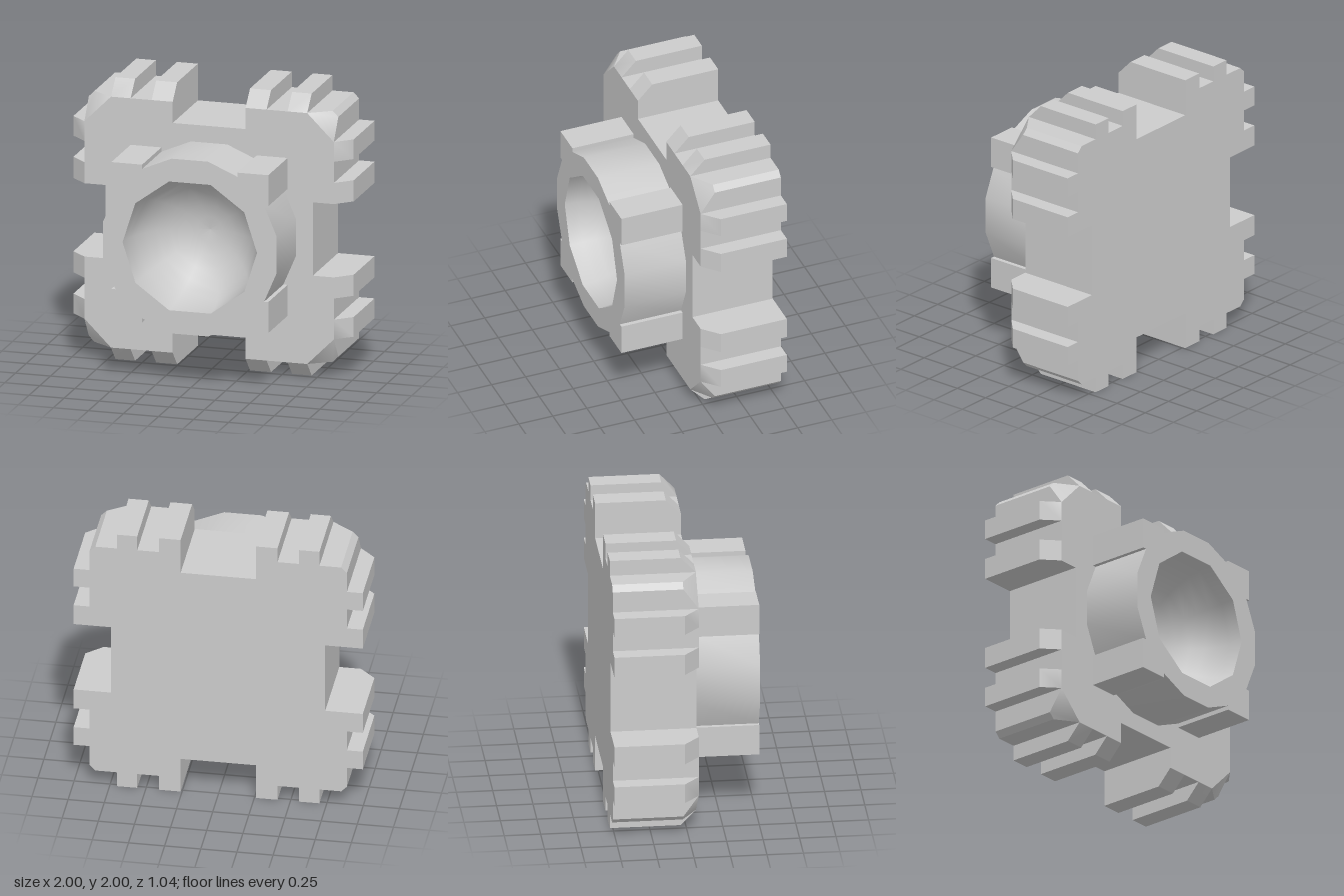
import * as THREE from 'three';
import { mergeGeometries, toCreasedNormals } from 'three/addons/utils/BufferGeometryUtils.js';

const BACK = -0.52, BEVEL = -0.035, FACE = 0.07, FRONT = 0.52;
const BORE = 0.48;

// Repeat one side's points (running right to left along the top) on all four sides.
function fourSides(side) {
  const out = [];
  for (let k = 0; k < 4; k++) {
    const a = k * Math.PI / 2, c = Math.round(Math.cos(a)), s = Math.round(Math.sin(a));
    for (const [x, y] of side) out.push(new THREE.Vector2(c * x - s * y, s * x + c * y));
  }
  return out;
}

// Add the left half of a side by mirroring its right half.
const mirrored = (half) => [...half, ...half.map(([x, y]) => [-x, y]).reverse()];

// Walls joining outlines of equal point count, given from back to front.
function loft(sections) {
  const pos = [];
  const tri = (a, b, c) => {
    const t = new THREE.Triangle(a, b, c);
    if (t.getArea() > 1e-7) for (const v of [a, b, c]) pos.push(v.x, v.y, v.z);
  };
  for (let i = 0; i + 1 < sections.length; i++) {
    const [lo, hi] = [sections[i], sections[i + 1]].map(
      ({ points, z }) => points.map((p) => new THREE.Vector3(p.x, p.y, z)));
    lo.forEach((p, j) => {
      const n = (j + 1) % lo.length;
      tri(p, lo[n], hi[n]);
      tri(p, hi[n], hi[j]);
    });
  }
  const g = new THREE.BufferGeometry();
  g.setAttribute('position', new THREE.Float32BufferAttribute(pos, 3));
  return g;
}

// Flat cap with an optional hole, facing +z or -z.
function cap(points, z, hole, facingBack = false) {
  const shape = new THREE.Shape(facingBack ? points.map((p) => new THREE.Vector2(-p.x, p.y)).reverse() : points);
  if (hole) shape.holes.push(new THREE.Path(hole));
  const g = new THREE.ShapeGeometry(shape);
  if (facingBack) g.rotateY(Math.PI);
  return g.translate(0, 0, z);
}

function solid(name, parts, material) {
  const plain = parts.map((p) => {
    const g = p.index ? p.toNonIndexed() : p;
    g.deleteAttribute('uv');
    g.deleteAttribute('normal');
    return g;
  });
  const mesh = new THREE.Mesh(toCreasedNormals(mergeGeometries(plain), 0.6), material);
  mesh.name = name;
  return mesh;
}

export function createModel() {
  const model = new THREE.Group();
  model.name = 'toothedSocketBlock';
  const material = new THREE.MeshStandardMaterial({ color: 0xcccccc });
  const block = new THREE.Group();
  block.name = 'block';
  block.position.y = 1;
  model.add(block);

  // ten-sided opening of the socket
  const bore = Array.from({ length: 10 }, (_, i) =>
    new THREE.Vector2(BORE * Math.cos(i * Math.PI / 5), BORE * Math.sin(i * Math.PI / 5)));

  // toothed plate: teeth and corners slope back to a plain outline at the face
  const half = [[0.85, 0.89], [0.7, 0.89], [0.7, 1], [0.56, 1], [0.56, 0.89],
    [0.41, 0.89], [0.41, 1], [0.26, 1], [0.26, 0.74]];
  const toothed = fourSides(mirrored(half));
  const sloped = fourSides(mirrored(half.map(([x, y]) => [Math.min(x, 0.7), Math.min(y, 0.89)])));
  const face = fourSides(mirrored([[0.7, 0.89], [0.26, 0.89], [0.26, 0.74]]));
  block.add(solid('toothedPlate', [
    loft([{ points: toothed, z: BACK }, { points: toothed, z: BEVEL }, { points: sloped, z: FACE }]),
    cap(toothed, BACK, null, true),
    cap(face, FACE, bore),
  ], material));

  // collar: faceted ring with four square corner lugs
  const collar = fourSides(mirrored([[0.56, 0.56], [0.34, 0.56], [0.34, 0.53], [0.13, 0.62]]))
    .filter((p, i, all) => p.distanceTo(all[(i + 1) % all.length]) > 1e-6);
  block.add(solid('collar', [
    loft([{ points: collar, z: FACE }, { points: collar, z: FRONT }]),
    cap(collar, FRONT, bore),
  ], material));

  // rounded socket, from the rim down to the bottom
  const bowl = Array.from({ length: 9 }, (_, i) => {
    const a = i / 8 * Math.PI / 2;
    return new THREE.Vector2(i === 8 ? 0 : BORE * Math.cos(a), -BORE * Math.sin(a));
  });
  const socket = new THREE.Mesh(
    new THREE.LatheGeometry(bowl, 10, Math.PI / 2).rotateX(Math.PI / 2), material);
  socket.name = 'socket';
  socket.position.z = FRONT;
  block.add(socket);

  return model;
}
